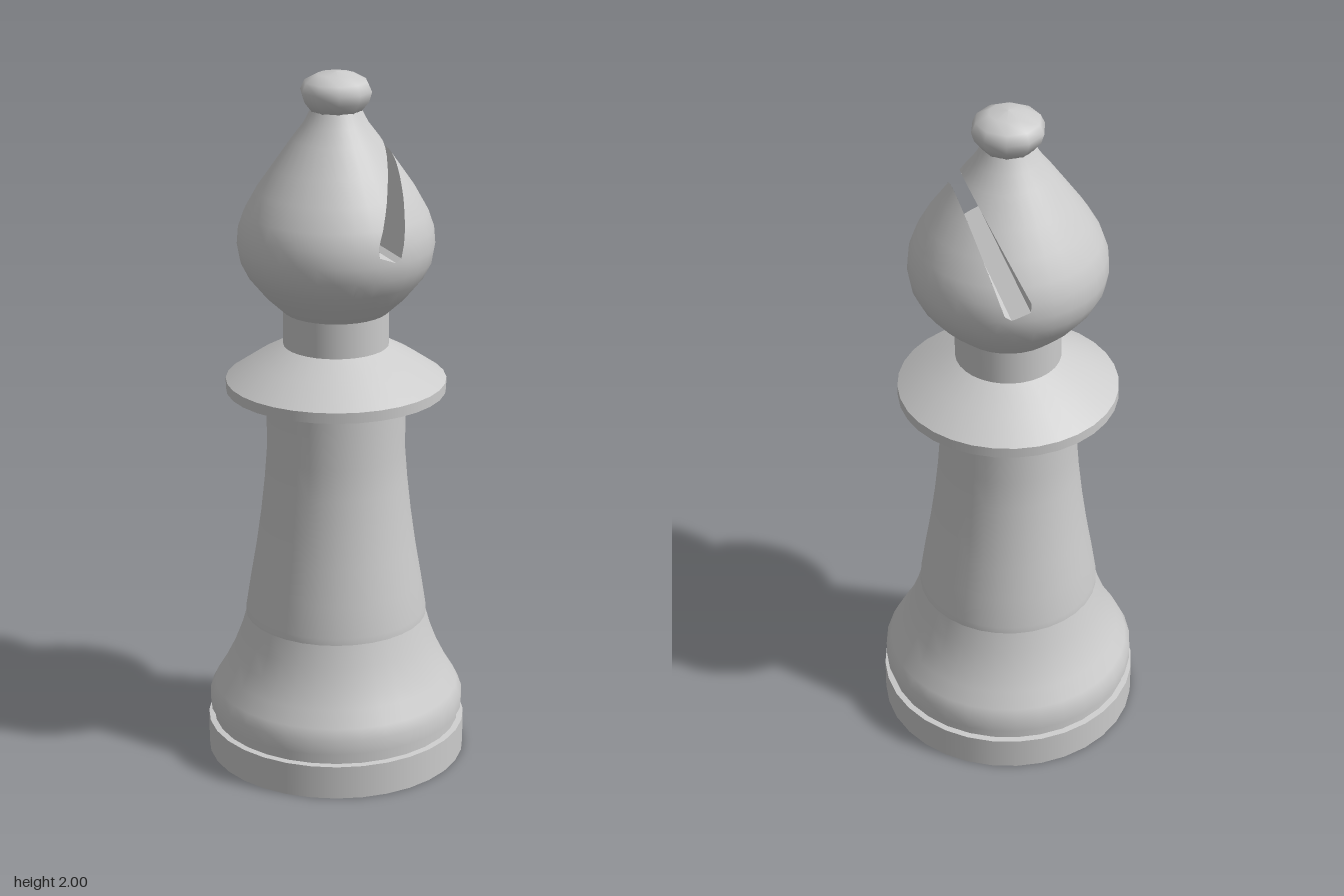
import * as THREE from 'three';

const material = new THREE.MeshStandardMaterial({ color: 0xcccccc });
const thinMaterial = new THREE.MeshStandardMaterial({ color: 0xcccccc, side: THREE.DoubleSide });

// Profiles are [radius, y] pairs from bottom to top
const headProfile = [[0.148, 1.33], [0.2, 1.378], [0.243, 1.43], [0.266, 1.475], [0.274, 1.52],
  [0.27, 1.568], [0.254, 1.614], [0.22, 1.675], [0.176, 1.738], [0.122, 1.815], [0.09, 1.857], [0.07, 1.895]];

// Slot outline in the x/y plane, from the upper lip round the floor to the lower lip
const slot = [[0.122, 1.815], [0.01, 1.571], [0.012, 1.545], [0.063, 1.525],
  [0.08, 1.535], [0.092, 1.575], [0.148, 1.778]];

function lathe(profile, sides = 32) {
  const points = profile.map(([r, y]) => new THREE.Vector2(r, y));
  return new THREE.LatheGeometry(points, sides, Math.PI / 2);
}

function headRadius(y) {
  for (let i = 1; i < headProfile.length; i++) {
    const [r0, y0] = headProfile[i - 1], [r1, y1] = headProfile[i];
    if (y <= y1) return r0 + (r1 - r0) * (y - y0) / (y1 - y0);
  }
  return 0;
}

// Splits a polygon of [position, normal] vertices by the line a-b; inside is on the left
function split(poly, a, b) {
  const side = v => (b[0] - a[0]) * (v[1] - a[1]) - (b[1] - a[1]) * (v[0] - a[0]);
  const inside = [], outside = [];
  poly.forEach((v, i) => {
    const w = poly[(i + 1) % poly.length], sv = side(v), sw = side(w);
    (sv >= 0 ? inside : outside).push(v);
    if ((sv >= 0) !== (sw >= 0)) {
      const t = sv / (sv - sw);
      const cut = v.map((c, k) => c + (w[k] - c) * t);
      inside.push(cut);
      outside.push(cut);
    }
  });
  return { inside, outside };
}

// Head surface with the convex slot cut away, keeping its smooth normals
function slottedHead() {
  const source = lathe(headProfile).toNonIndexed();
  const p = source.attributes.position, n = source.attributes.normal;
  const positions = [], normals = [];
  const emit = poly => {
    for (let i = 1; i + 1 < poly.length; i++) {
      for (const v of [poly[0], poly[i], poly[i + 1]]) {
        positions.push(v[0], v[1], v[2]);
        normals.push(v[3], v[4], v[5]);
      }
    }
  };
  for (let i = 0; i < p.count; i += 3) {
    let rest = [0, 1, 2].map(k => i + k).map(j =>
      [p.getX(j), p.getY(j), p.getZ(j), n.getX(j), n.getY(j), n.getZ(j)]);
    for (let e = 0; e + 1 < slot.length && rest.length; e++) {
      const { inside, outside } = split(rest, slot[e], slot[e + 1]);
      emit(outside);
      rest = inside;
    }
  }
  const geometry = new THREE.BufferGeometry();
  geometry.setAttribute('position', new THREE.Float32BufferAttribute(positions, 3));
  geometry.setAttribute('normal', new THREE.Float32BufferAttribute(normals, 3));
  return geometry;
}

// Walls and floor of the slot, spanning the head from back to front
function slotWalls() {
  const positions = [];
  const last = slot.length - 2;
  for (let e = 0; e <= last; e++) {
    const steps = e === 0 || e === last ? 24 : 2;
    const rows = [];
    for (let i = 0; i <= steps; i++) {
      let t = i / steps;
      // Pack the samples where the walls run out at the lips
      if (e === 0) t = t * t;
      if (e === last) t = 1 - (1 - t) * (1 - t);
      const x = slot[e][0] + (slot[e + 1][0] - slot[e][0]) * t;
      const y = slot[e][1] + (slot[e + 1][1] - slot[e][1]) * t;
      const z = Math.sqrt(Math.max(0, headRadius(y) ** 2 - x * x)) * 0.998;
      rows.push([x, y, z]);
    }
    for (let i = 0; i < steps; i++) {
      const [x0, y0, z0] = rows[i], [x1, y1, z1] = rows[i + 1];
      positions.push(x0, y0, z0, x1, y1, -z1, x1, y1, z1);
      positions.push(x0, y0, z0, x0, y0, -z0, x1, y1, -z1);
    }
  }
  const geometry = new THREE.BufferGeometry();
  geometry.setAttribute('position', new THREE.Float32BufferAttribute(positions, 3));
  geometry.computeVertexNormals();
  return geometry;
}

export function createModel() {
  const model = new THREE.Group();
  model.name = 'chessBishop';
  const add = (name, geometry, mat = material) => {
    const mesh = new THREE.Mesh(geometry, mat);
    mesh.name = name;
    model.add(mesh);
  };

  // Turned sections, each smooth in itself with a sharp edge to its neighbours
  const sections = [
    ['baseBottom', [[0, 0], [0.373, 0]]],
    ['baseRim', [[0.373, 0], [0.373, 0.098]]],
    ['baseLedge', [[0.373, 0.098], [0.356, 0.1]]],
    ['baseGroove', [[0.356, 0.1], [0.356, 0.13]]],
    ['footUnderside', [[0.356, 0.13], [0.367, 0.134]]],
    ['foot', [[0.367, 0.134], [0.367, 0.175], [0.352, 0.205], [0.325, 0.25], [0.3, 0.3], [0.277, 0.36], [0.26, 0.42]]],
    ['stem', [[0.26, 0.42], [0.259, 0.44], [0.245, 0.53], [0.228, 0.63], [0.214, 0.73], [0.203, 0.83], [0.196, 0.92], [0.196, 1.07]]],
    ['collarUnderside', [[0.196, 1.07], [0.31, 1.1]]],
    ['collarRim', [[0.31, 1.1], [0.31, 1.13]]],
    ['collarTop', [[0.31, 1.13], [0.23, 1.185], [0.148, 1.23]]],
    ['neck', [[0.148, 1.23], [0.148, 1.33]]],
  ];
  for (const [name, profile] of sections) add(name, lathe(profile));

  // Mitre-shaped head with its diagonal slot
  add('head', slottedHead());
  add('slotWalls', slotWalls(), thinMaterial);

  // Small knob on top
  add('finial', lathe([[0, 1.89], [0.07, 1.892], [0.092, 1.92], [0.1, 1.947],
    [0.088, 1.973], [0.052, 1.993], [0, 2]], 10));

  return model;
}
